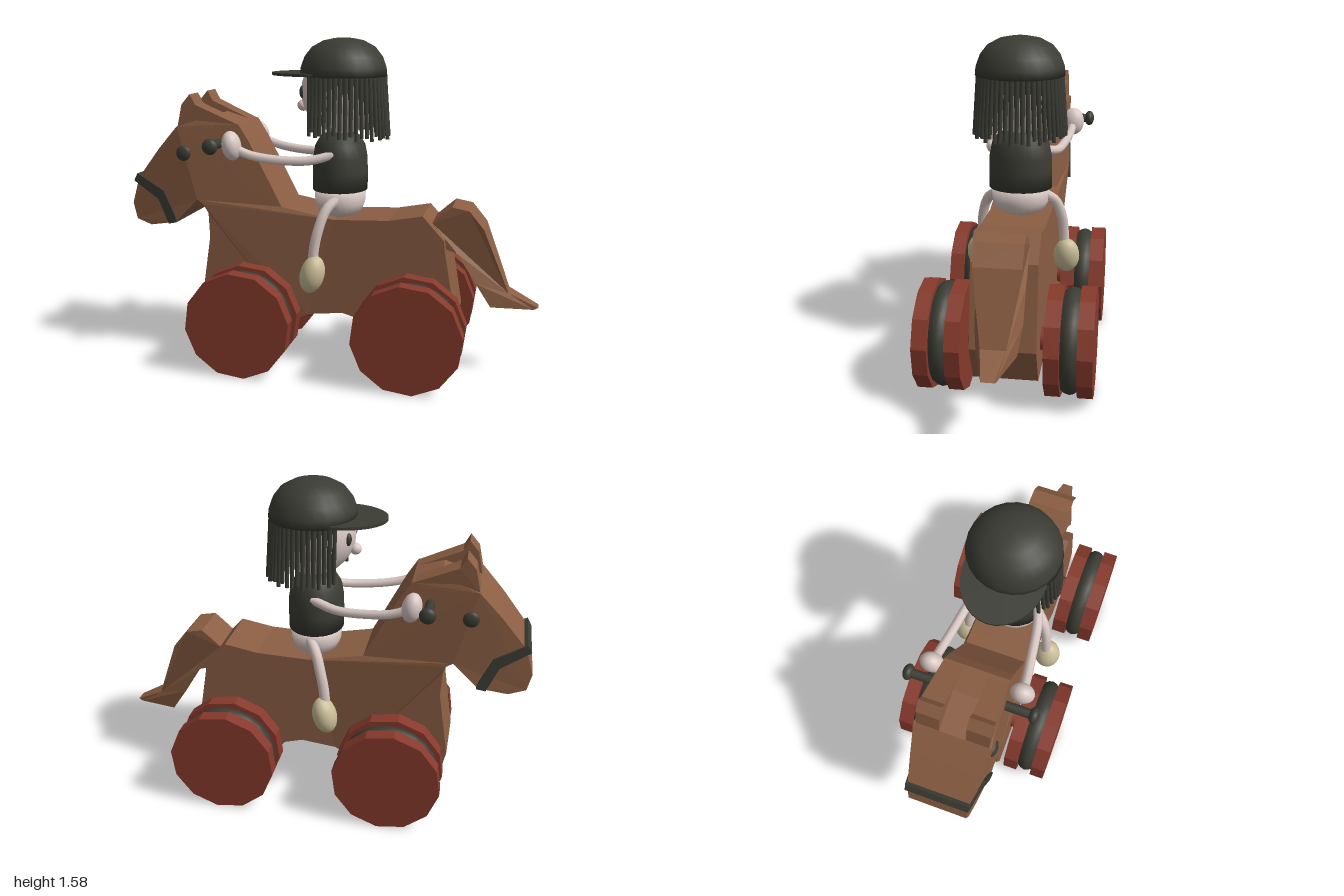
import * as THREE from 'three';

const mat = (name, color) => Object.assign(new THREE.MeshStandardMaterial({ color }), { name });

export function createModel() {
  const root = new THREE.Group();
  const wood = mat('brown wood', 0x8b5e43);
  const red = mat('red wheel', 0x873a2c);
  const dark = mat('charcoal', 0x3b3c34);
  const skin = mat('pale skin', 0xd8c8c3);
  const shoe = mat('beige shoe', 0xc9bd97);

  const add = (name, geo, material, x = 0, y = 0, z = 0, parent = root) => {
    const m = new THREE.Mesh(geo, material);
    m.name = name;
    m.position.set(x, y, z);
    parent.add(m);
    return m;
  };
  const flat = (geo) => {
    const g = geo.index ? geo.toNonIndexed() : geo;
    g.computeVertexNormals();
    return g;
  };
  // Side profile extruded across z, with the depth range given at each point
  const slab = (pts, range) => {
    const g = new THREE.ExtrudeGeometry(
      new THREE.Shape(pts.map(([x, y]) => new THREE.Vector2(x, y))),
      { depth: 1, bevelEnabled: false });
    const p = g.attributes.position;
    for (let i = 0; i < p.count; i++) {
      const [a, b] = range(p.getX(i), p.getY(i));
      p.setZ(i, a + (b - a) * p.getZ(i));
    }
    return flat(g);
  };
  const ball = (name, material, r, pos, scale = [1, 1, 1], tilt = 0) => {
    const m = add(name, new THREE.SphereGeometry(r, 20, 14), material, ...pos);
    m.scale.set(...scale);
    m.rotation.z = tilt;
    return m;
  };
  const tube = (name, pts, r, material) => add(name, new THREE.TubeGeometry(
    new THREE.CatmullRomCurve3(pts.map((p) => new THREE.Vector3(...p))), 16, r, 8), material);
  const lathe = (pts, n = 24) =>
    new THREE.LatheGeometry(pts.map(([x, y]) => new THREE.Vector2(x, y)), n);

  // Horse: body, neck and head, widest at the cheeks
  const halfWidth = (x, y) => (x < -0.6 && y > 0.65
    ? 0.14 + 0.04 * Math.min(1, (x + 1) / 0.3) : 0.15);
  const both = (extra) => (x, y) => [-halfWidth(x, y) - extra, halfWidth(x, y) + extra];
  add('horseBody', slab([
    [-0.6, 0.12], [-0.25, 0.11], [-0.17, 0.22], [-0.09, 0.26], [0.08, 0.28], [0.17, 0.255],
    [0.3, 0.11], [0.54, 0.1], [0.625, 0.28], [0.6, 0.43], [0.57, 0.6], [0.56, 0.67],
    [0.46, 0.78], [0.3, 0.75], [0.04, 0.74], [-0.22, 0.79], [-0.38, 1.1], [-0.43, 1.18],
    [-0.56, 1.22], [-0.735, 1.165], [-0.84, 1.05], [-0.96, 0.9], [-1, 0.77], [-0.98, 0.69],
    [-0.9, 0.665], [-0.76, 0.69], [-0.64, 0.81], [-0.61, 0.79], [-0.595, 0.74],
    [-0.59, 0.62], [-0.64, 0.3],
  ], both(0)), wood);
  add('bridle', slab([
    [-0.985, 0.885], [-0.85, 0.8], [-0.797, 0.68], [-0.753, 0.69], [-0.76, 0.72],
    [-0.82, 0.845], [-0.965, 0.922],
  ], both(0.008)), dark);

  // Tail narrows towards the tip
  const tailWidth = (x) => (x < 0.74 ? 0.105
    : x < 0.87 ? 0.105 - (x - 0.74) * 0.42 : 0.05 - (x - 0.87) * 0.17);
  add('tail', slab([
    [0.5, 0.74], [0.56, 0.62], [0.62, 0.6], [0.71, 0.46], [0.78, 0.345], [0.98, 0.33],
    [1, 0.34], [0.86, 0.41], [0.74, 0.72], [0.67, 0.805], [0.59, 0.82], [0.555, 0.79],
  ], (x) => [-tailWidth(x), tailWidth(x)]), wood);

  // Ears, eyes and handlebar
  for (const s of [-1, 1]) {
    add('ear', slab([
      [-0.735, 1.16], [-0.6, 1.16], [-0.43, 1.178], [-0.56, 1.235], [-0.64, 1.27],
      [-0.667, 1.32], [-0.71, 1.27],
    ], (x) => {
      const outer = x < -0.6 ? 0.165 : 0.15;
      return s > 0 ? [0.06, outer] : [-outer, -0.06];
    }), wood);
    ball('horseEye', dark, 0.038, [-0.705, 1.035, s * 0.172], [1, 1, 0.5]);
    ball('handleKnob', dark, 0.038, [-0.52, 1.09, s * 0.293], [1, 1, 0.65]);
  }
  add('handlebar', new THREE.CylinderGeometry(0.022, 0.022, 0.58, 12), dark, -0.52, 1.09, 0)
    .rotation.x = Math.PI / 2;

  // Wheels: two red discs with a bulging dark tyre between, on a shared axle
  const discGeo = flat(new THREE.CylinderGeometry(0.258, 0.258, 0.07, 12));
  const tyreGeo = lathe([[0.225, -0.04], [0.24, -0.02], [0.245, 0], [0.24, 0.02], [0.225, 0.04]], 24);
  for (const x of [-0.375, 0.427]) {
    const axle = add('axle', new THREE.CylinderGeometry(0.053, 0.053, 0.6, 12), red, x, 0.257, 0);
    axle.rotation.x = Math.PI / 2;
    for (const s of [-1, 1]) {
      for (const z of [0.218, 0.364]) {
        const disc = add('wheelDisc', discGeo, red, x, 0.257, s * z);
        disc.rotation.set(Math.PI / 2, 0.13, 0);
      }
      add('tyre', tyreGeo, dark, x, 0.257, s * 0.291).rotation.x = Math.PI / 2;
    }
  }

  // Rider torso and hips
  const torso = add('torso', lathe([
    [0, 0.865], [0.152, 0.865], [0.152, 0.95], [0.15, 1.02], [0.138, 1.08], [0.108, 1.125],
    [0.06, 1.143], [0, 1.147],
  ]), dark, 0.035);
  torso.scale.x = 0.87;
  const hips = add('hips', lathe([
    [0, 0.735], [0.08, 0.738], [0.12, 0.76], [0.137, 0.8], [0.142, 0.87], [0, 0.875],
  ]), skin, 0.035);
  hips.scale.x = 0.88;

  // Rider limbs
  for (const s of [-1, 1]) {
    tube('arm', [[0.03, 1.045, s * 0.125], [-0.09, 1.02, s * 0.165], [-0.25, 1.025, s * 0.19],
      [-0.36, 1.045, s * 0.205], [-0.44, 1.08, s * 0.212]], 0.022, skin);
    ball('hand', skin, 0.07, [-0.443, 1.087, s * 0.213], [0.65, 1, 0.8], 0.15);
    tube('leg', [[0.05, 0.84, s * 0.11], [0.005, 0.79, s * 0.165], [-0.025, 0.7, s * 0.197],
      [-0.045, 0.6, s * 0.207], [-0.05, 0.5, s * 0.21]], 0.025, skin);
    ball('foot', shoe, 0.093, [-0.05, 0.486, s * 0.22], [0.63, 1, 0.7], -0.25);
    ball('riderEye', dark, 0.03, [-0.13, 1.335, s * 0.078], [0.5, 1, 0.65]);
  }

  // Head and nose
  ball('head', skin, 0.2, [0.048, 1.335, 0]);
  ball('nose', skin, 0.028, [-0.15, 1.265, 0]);

  // Cap with a flat brim
  const cap = add('cap', lathe([
    [0, 0], [0.207, 0], [0.203, 0.04], [0.185, 0.09], [0.15, 0.135], [0.095, 0.165],
    [0.04, 0.176], [0, 0.177],
  ]), dark, 0.05, 1.408);
  cap.scale.z = 1.02;
  const brim = add('brim', new THREE.CylinderGeometry(1, 1, 0.013, 32), dark, -0.07, 1.417);
  brim.scale.set(0.228, 1, 0.182);

  // Hair strands hanging round the sides and back
  const up = new THREE.Vector3(0, 1, 0);
  const count = 38;
  for (let i = 0; i < count; i++) {
    const a = (i / (count - 1) - 0.5) * 4.6;
    const back = (Math.cos(a) + 1) / 2;
    const length = 0.27 + 0.025 * back + 0.012 * Math.sin(i * 2.4);
    const top = new THREE.Vector3(0.05 + 0.192 * Math.cos(a), 1.42, 0.192 * Math.sin(a));
    const end = new THREE.Vector3(0.05 + (0.19 + 0.027 * back) * Math.cos(a), 1.42 - length,
      0.217 * Math.sin(a));
    const dir = top.clone().sub(end);
    const strand = add('hairStrand', new THREE.CylinderGeometry(0.013, 0.009, dir.length(), 7), dark);
    strand.position.copy(top).add(end).multiplyScalar(0.5);
    strand.quaternion.setFromUnitVectors(up, dir.normalize());
  }
  return root;
}
